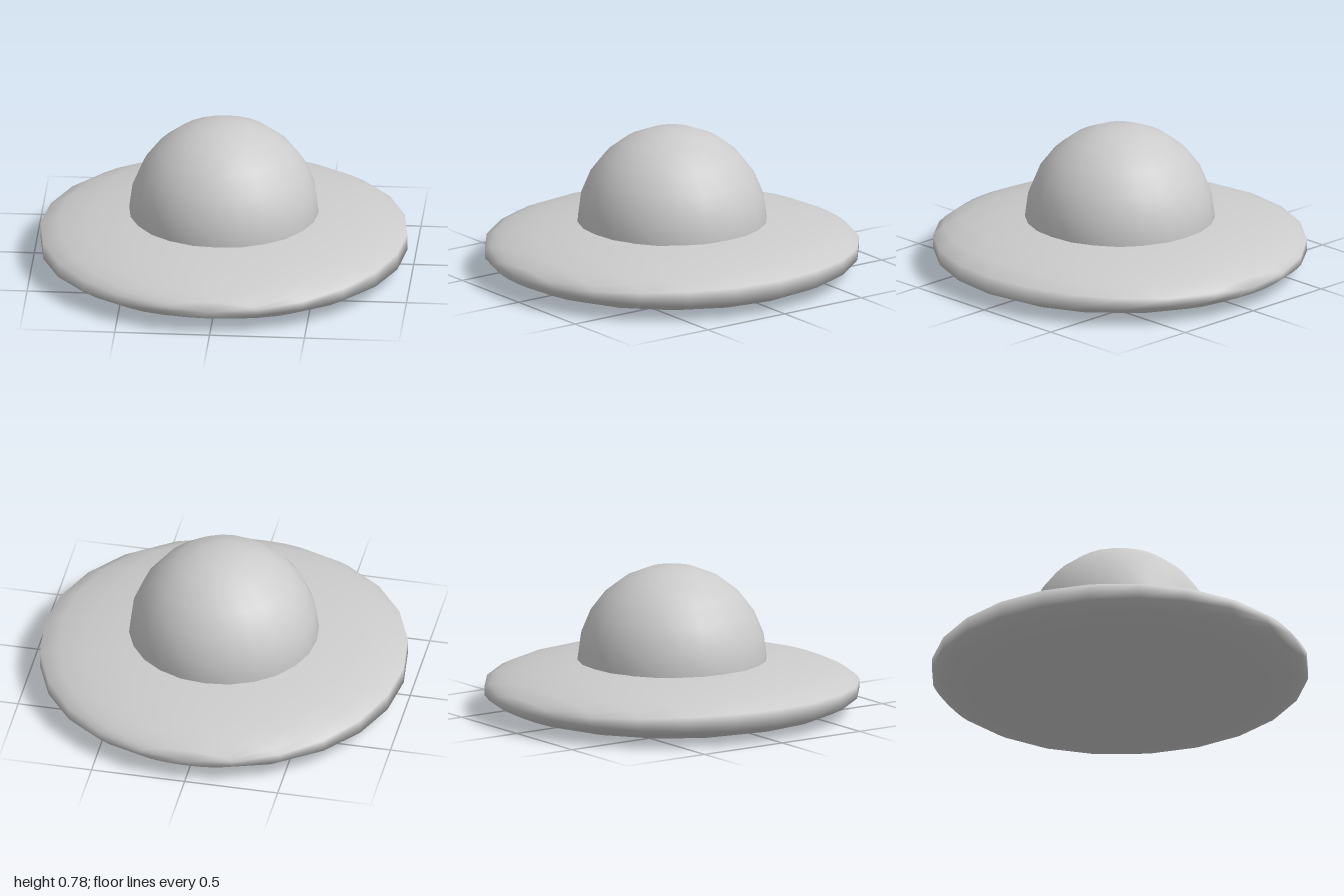
import * as THREE from 'three';

const material = new THREE.MeshStandardMaterial({ color: 0xcccccc });
const STEP = Math.PI / 12;
const HALF_HEIGHT = 0.18;
const CUT = Math.SQRT1_2; // the underside is sliced flat at 45 degrees

function makeMesh(name, positions, normals, index) {
  const geometry = new THREE.BufferGeometry();
  geometry.setAttribute('position', new THREE.Float32BufferAttribute(positions, 3));
  geometry.setIndex(index);
  if (normals) geometry.setAttribute('normal', new THREE.Float32BufferAttribute(normals, 3));
  else geometry.computeVertexNormals();
  const mesh = new THREE.Mesh(geometry, material);
  mesh.name = name;
  return mesh;
}

// Flattened ball with its poles at the front and back, sliced by a flat floor
function createBrim() {
  const group = new THREE.Group();
  group.name = 'brim';

  // Meridians skip the horizontal plane, giving the sides a narrow upright band
  const angles = [];
  for (let k = 1; k < 12; k++) angles.push(k);
  for (let k = 13; k <= 18; k++) angles.push(k);
  const floorLeft = angles.length - 1;
  for (let k = 18; k < 24; k++) angles.push(k);
  const count = angles.length;

  const positions = [], normals = [], index = [], floorIndex = [];
  for (let i = 0; i <= 12; i++) {
    const r = Math.sin(i * STEP), z = Math.cos(i * STEP);
    const limit = r > CUT ? Math.asin(CUT / r) : Math.PI / 2;
    angles.forEach((k, j) => {
      // Lower points stop where their ring meets the floor
      let a = k * STEP;
      if (k > 12) a = j <= floorLeft ? Math.min(a, Math.PI + limit) : Math.max(a, 2 * Math.PI - limit);
      const x = r * Math.cos(a), y = r * Math.sin(a);
      positions.push(x, (y + CUT) * HALF_HEIGHT, z);
      const n = new THREE.Vector3(x, y / HALF_HEIGHT, z).normalize();
      normals.push(n.x, n.y, n.z);
    });
  }
  for (let i = 0; i < 12; i++) {
    for (let j = 0; j < count; j++) {
      const next = (j + 1) % count;
      const a = i * count + j, b = a + count;
      const d = i * count + next, c = d + count;
      (j === floorLeft ? floorIndex : index).push(a, b, c, a, c, d);
    }
  }
  group.add(makeMesh('brimShell', positions, normals, index));
  group.add(makeMesh('brimFloor', positions, null, floorIndex));
  return group;
}

export function createModel() {
  const model = new THREE.Group();
  model.name = 'domedSaucer';
  model.add(createBrim());

  // Half-ball dome
  const dome = new THREE.Mesh(
    new THREE.SphereGeometry(0.5, 24, 6, 0, Math.PI * 2, 0, Math.PI / 2), material);
  dome.name = 'dome';
  dome.position.y = 0.28;
  model.add(dome);
  return model;
}
